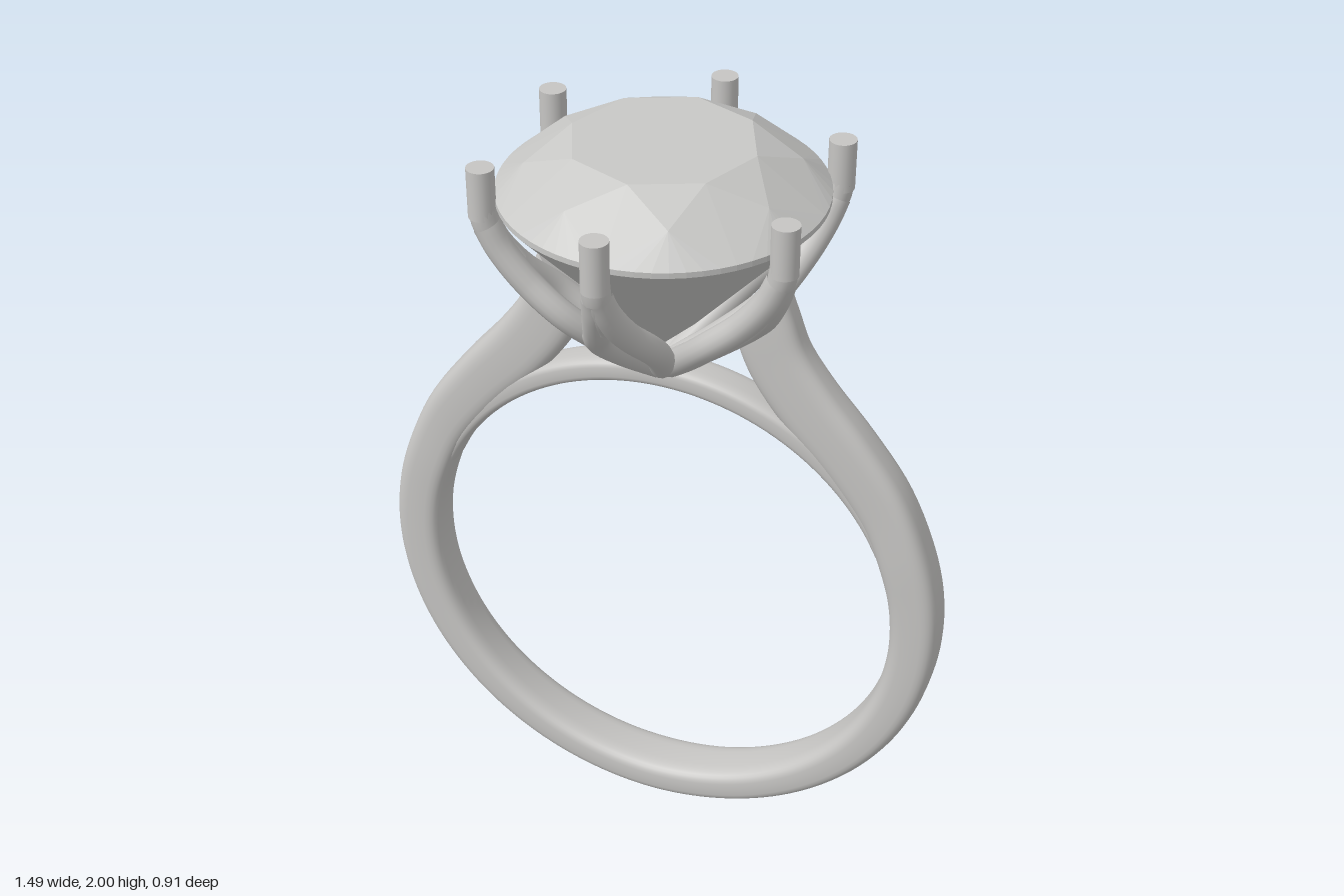
import * as THREE from 'three';

const metal = new THREE.MeshStandardMaterial({ color: 0xc6c5c3 });
metal.name = 'polished metal';
const stone = new THREE.MeshStandardMaterial({ color: 0xc8c8c6 });
stone.name = 'clear stone';

const V = (x, y, z = 0) => new THREE.Vector3(x, y, z);

function add(parent, name, geometry, material = metal) {
  const mesh = new THREE.Mesh(geometry, material);
  mesh.name = name;
  parent.add(mesh);
  return mesh;
}

// Sweeps a rounded rectangle between an inner and an outer edge in the xy plane.
// Each section is [innerX, innerY, outerX, outerY, halfWidth].
function band(sections, steps, round = 3.4) {
  const sides = 32;
  const inner = new THREE.CatmullRomCurve3(sections.map(s => V(s[0], s[1])));
  const outer = new THREE.CatmullRomCurve3(sections.map(s => V(s[2], s[3], s[4])));
  const pos = [], idx = [];
  const power = c => Math.sign(c) * Math.abs(c) ** (2 / round);
  for (let i = 0; i <= steps; i++) {
    const a = inner.getPoint(i / steps), b = outer.getPoint(i / steps);
    for (let j = 0; j < sides; j++) {
      const t = j / sides * Math.PI * 2;
      const k = 0.5 + 0.5 * power(Math.cos(t));
      pos.push(a.x + (b.x - a.x) * k, a.y + (b.y - a.y) * k, b.z * power(Math.sin(t)));
    }
  }
  for (let i = 0; i < steps; i++) {
    for (let j = 0; j < sides; j++) {
      const n = (j + 1) % sides, p = i * sides, q = p + sides;
      idx.push(p + j, q + j, p + n, p + n, q + j, q + n);
    }
  }
  // End caps on their own vertices, so their edges stay crisp
  for (const end of [0, steps]) {
    const base = pos.length / 3, from = end * sides * 3;
    pos.push(...pos.slice(from, from + sides * 3));
    for (let j = 1; j < sides - 1; j++) {
      idx.push(base, ...(end ? [base + j + 1, base + j] : [base + j, base + j + 1]));
    }
  }
  const g = new THREE.BufferGeometry();
  g.setAttribute('position', new THREE.Float32BufferAttribute(pos, 3));
  g.setIndex(idx);
  g.computeVertexNormals();
  return g;
}

// Shank: a round hoop opening into two shoulders that rise to the setting
function shankGeometry() {
  const half = [];
  for (let d = 0; d <= 110; d += 10) {
    const a = d * Math.PI / 180, s = Math.sin(a), c = Math.cos(a);
    half.push([0.62 * s, 0.725 - 0.62 * c, 0.745 * s, 0.75 - 0.745 * c, 0.075 - 0.0001 * d]);
  }
  half.push(
    [0.535, 1.05, 0.63, 1.165, 0.059],
    [0.43, 1.19, 0.53, 1.305, 0.056],
    [0.31, 1.315, 0.43, 1.425, 0.053],
    [0.235, 1.42, 0.365, 1.52, 0.051],
    [0.2, 1.5, 0.335, 1.6, 0.05],
    [0.195, 1.54, 0.312, 1.662, 0.048]
  );
  const mirrored = half.slice(1).reverse().map(([a, b, c, d, w]) => [-a, b, -c, d, w]);
  return band([...mirrored, ...half], 160);
}

// Bridge: the thin arch closing the finger hole below the setting
function bridgeGeometry() {
  const sections = [];
  for (let d = -66; d <= 66; d += 6) {
    const a = -d * Math.PI / 180, s = Math.sin(a), c = Math.cos(a);
    sections.push([0.62 * s, 0.725 + 0.62 * c, 0.685 * s, 0.725 + 0.685 * c, 0.05]);
  }
  // ordered from +x over the top to -x
  if (sections[0][0] < 0) sections.reverse();
  return band(sections, 60);
}

// Round brilliant cut with eight-fold symmetry
function gemGeometry() {
  const pos = [];
  const at = (k, r, y) => {
    const a = k * Math.PI / 4;
    return V(r * Math.sin(a), y, r * Math.cos(a));
  };
  const tri = (...pts) => pts.forEach(p => pos.push(p.x, p.y, p.z));
  const R = 0.39, top = 1.882, low = 1.868, fan = 8;
  const table = V(0, 2, 0), culet = V(0, 1.45, 0);
  for (let k = 0; k < 8; k++) {
    const t0 = at(k, 0.225, 2), t1 = at(k + 1, 0.225, 2);
    const m0 = at(k - 0.5, 0.32, 1.946), m1 = at(k + 0.5, 0.32, 1.946);
    const l0 = at(k - 0.5, 0.1, 1.547), l1 = at(k + 0.5, 0.1, 1.547);
    const gTop = at(k, R, top), gLow = at(k, R, low);
    tri(table, t0, t1);
    tri(t0, m1, t1);
    tri(t0, m0, gTop);
    tri(t0, gTop, m1);
    tri(culet, gLow, l0);
    tri(culet, l1, gLow);
    for (let i = 0; i < fan; i++) {
      const u = k + i / fan, v = k + (i + 1) / fan;
      const a = at(u, R, top), b = at(v, R, top), c = at(u, R, low), d = at(v, R, low);
      tri(m1, a, b);
      tri(a, c, b);
      tri(b, c, d);
      tri(l1, d, c);
    }
  }
  const g = new THREE.BufferGeometry();
  g.setAttribute('position', new THREE.Float32BufferAttribute(pos, 3));
  g.computeVertexNormals();
  return g;
}

// Prong: an upright post that splits into two strands meeting again at the base
function createProng() {
  const prong = new THREE.Group();
  prong.name = 'prong';
  const post = add(prong, 'prongPost', new THREE.CylinderGeometry(0.033, 0.033, 0.125, 20));
  post.position.set(0, 1.9025, 0.42);
  const neck = new THREE.CatmullRomCurve3([V(0, 1.86, 0.42), V(0, 1.82, 0.412), V(0, 1.76, 0.385), V(0, 1.71, 0.35)]);
  add(prong, 'prongNeck', new THREE.TubeGeometry(neck, 10, 0.033, 16));
  for (const s of [1, -1]) {
    const path = new THREE.CatmullRomCurve3([
      V(0.003 * s, 1.82, 0.412), V(0.012 * s, 1.76, 0.385), V(0.034 * s, 1.68, 0.33),
      V(0.066 * s, 1.59, 0.242), V(0.044 * s, 1.49, 0.13), V(0.004 * s, 1.4, 0.02)
    ]);
    add(prong, 'prongStrand', new THREE.TubeGeometry(path, 32, 0.034, 14));
  }
  return prong;
}

export function createModel() {
  const ring = new THREE.Group();
  ring.name = 'ring';
  add(ring, 'shank', shankGeometry());
  add(ring, 'bridge', bridgeGeometry());

  const setting = new THREE.Group();
  setting.name = 'setting';
  for (let i = 0; i < 6; i++) {
    const prong = createProng();
    prong.rotation.y = i * Math.PI / 3;
    setting.add(prong);
  }
  const base = add(setting, 'settingBase', new THREE.SphereGeometry(0.036, 20, 14));
  base.position.y = 1.402;
  ring.add(setting);

  add(ring, 'gem', gemGeometry(), stone);
  return ring;
}
